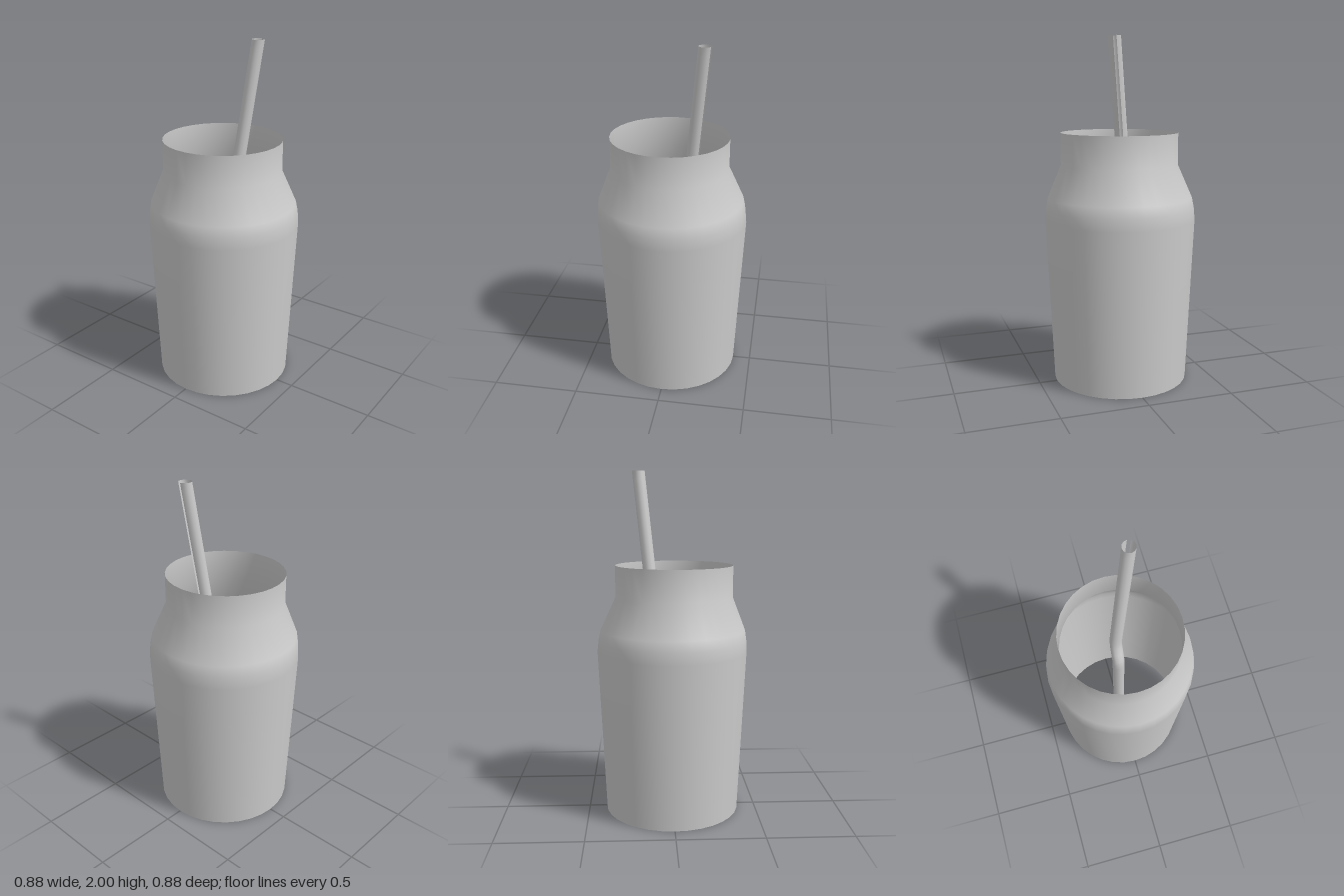
import * as THREE from 'three';

const grey = new THREE.MeshStandardMaterial({ color: 0xcccccc, side: THREE.DoubleSide });

// Shift each horizontal ring sideways by a rule of its height
function shiftRings(geometry, offset) {
  const p = geometry.attributes.position;
  for (let i = 0; i < p.count; i++) {
    const [dx, dz] = offset(p.getY(i));
    p.setX(i, p.getX(i) + dx);
    p.setZ(i, p.getZ(i) + dz);
  }
  return geometry;
}

function part(name, geometry) {
  const mesh = new THREE.Mesh(geometry, grey);
  mesh.name = name;
  return mesh;
}

export function createModel() {
  const group = new THREE.Group();
  group.name = 'bottleWithStraw';

  // Thin open shell: tapered body, sloping shoulder, straight neck slightly off centre
  const profile = [
    [0.395, 0], [0.439, 0.96], [0.434, 1.03], [0.423, 1.09], [0.342, 1.28], [0.342, 1.465],
  ].map(([r, y]) => new THREE.Vector2(r, y));
  const shell = shiftRings(new THREE.LatheGeometry(profile, 32), (y) => [
    -0.013 * THREE.MathUtils.clamp((y - 0.96) / 0.32, 0, 1), 0,
  ]);
  group.add(part('bottleShell', shell));

  // Straw: upright below, a short bend, then leaning; a narrow slit runs along one side
  const bendLow = 0.9, bendHigh = 1.09;
  const tube = new THREE.CylinderGeometry(
    0.037, 0.037, 2, 11, 40, true, Math.PI / 2, Math.PI * 11 / 6);
  tube.translate(0, 1, 0);
  const straw = shiftRings(tube, (y) => {
    const bend = THREE.MathUtils.smoothstep(y, bendLow, bendHigh);
    const lean = Math.max(0, y - bendHigh);
    return [0.033 + 0.062 * bend + 0.105 * lean, 0.107 * lean];
  });
  straw.computeVertexNormals();
  group.add(part('straw', straw));

  return group;
}
